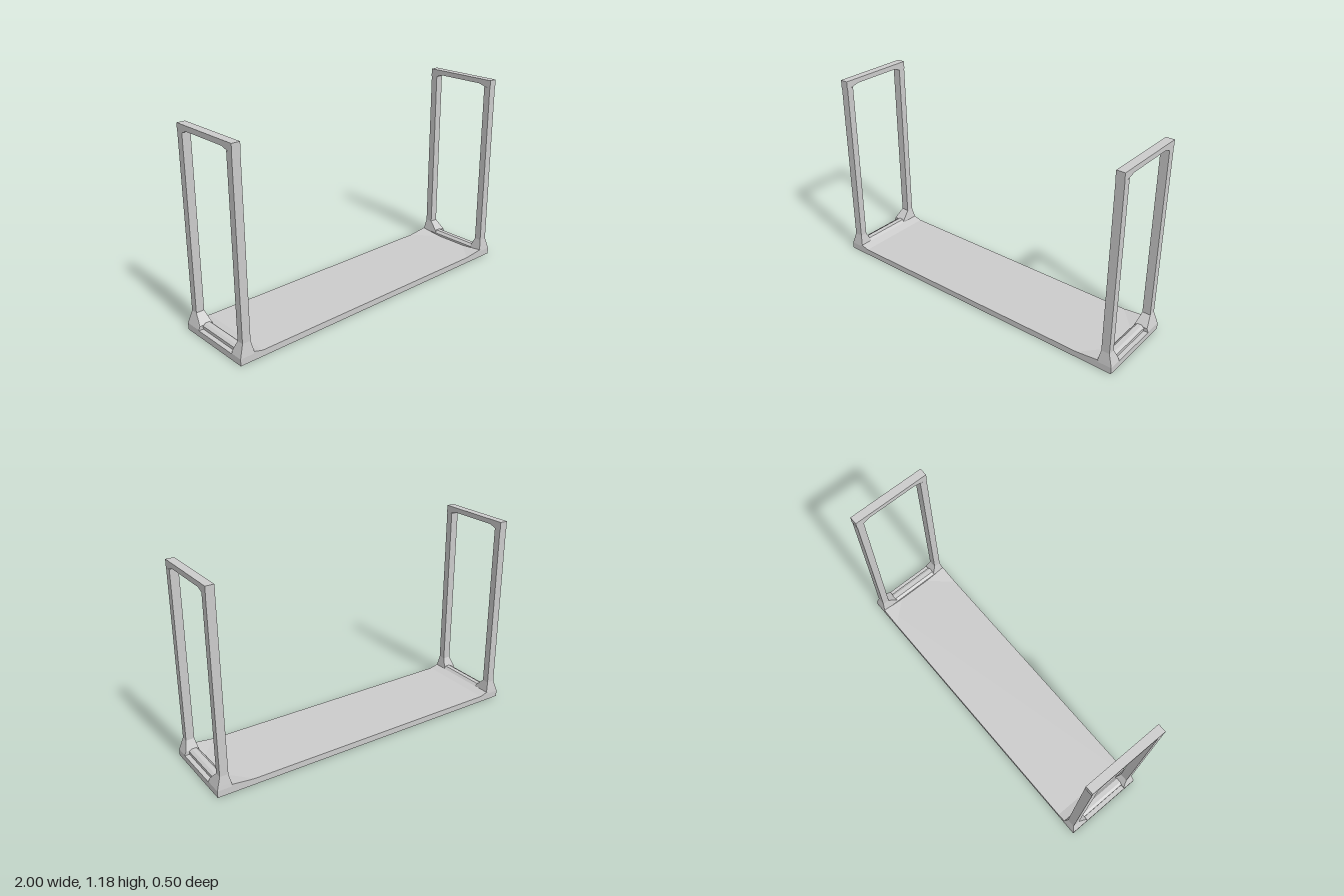
import * as THREE from 'three';
import { ConvexGeometry } from 'three/addons/geometries/ConvexGeometry.js';

const material = new THREE.MeshStandardMaterial({ color: 0xcccccc, flatShading: true });

export function createModel() {
  const group = new THREE.Group();
  const add = (name, geometry, parent = group) => {
    const mesh = new THREE.Mesh(geometry, material);
    mesh.name = name;
    parent.add(mesh);
    return mesh;
  };
  const box = (name, parent, x0, x1, y0, y1, z0, z1) =>
    add(name, new THREE.BoxGeometry(x1 - x0, y1 - y0, Math.abs(z1 - z0)), parent)
      .position.set((x0 + x1) / 2, (y0 + y1) / 2, (z0 + z1) / 2);
  // Solid spanned by a few corner points
  const hull = (name, parent, points) =>
    add(name, new ConvexGeometry(points.map((p) => new THREE.Vector3(...p))), parent);
  // Rectangle corners at height y
  const rect = (y, xa, xb, za, zb) => [[xa, y, za], [xb, y, za], [xb, y, zb], [xa, y, zb]];

  // Flat base plate
  box('basePlate', group, -1, 1, 0, 0.037, -0.25, 0.25);

  // One upright frame at each end
  for (const s of [-1, 1]) {
    const frame = new THREE.Group();
    frame.name = s > 0 ? 'leftFrame' : 'rightFrame';
    group.add(frame);
    const span = (a, b) => [Math.min(s * a, s * b), Math.max(s * a, s * b)];
    const [px0, px1] = span(0.925, 0.975);

    for (const f of [-1, 1]) {
      const side = f > 0 ? 'front' : 'back';
      const inner = f > 0 ? 0.17 : 0.14;
      box(side + 'Post', frame, px0, px1, 0.1, 1.135, f * 0.195, f * 0.238);
      // Flared foot, wider towards the plate
      hull(side + 'Foot', frame, [
        ...rect(0.03, s * 0.91, s, f * inner, f * 0.25),
        ...rect(0.04, s * 0.91, s, f * inner, f * 0.25),
        ...rect(0.06, s * 0.914, s * 0.992, f * inner, f * 0.247),
        ...rect(0.115, s * 0.925, s * 0.975, f * 0.195, f * 0.238),
      ]);
      // Shallow corner fillet on the plate
      if (s > 0) {
        hull(side + 'Fillet', frame, [
          [0.915, 0.052, f * 0.25], [0.78, 0.037, f * 0.25], [0.915, 0.037, f * 0.1],
          [0.915, 0.03, f * 0.25],
        ]);
      }
    }

    // Low sill between the feet
    const sill = [[0.91, 0.03], [0.91, 0.05], [0.927, 0.065], [0.955, 0.065], [0.972, 0.055], [0.972, 0.03]];
    hull('sill', frame, sill.flatMap(([x, y]) => [[s * x, y, -0.18], [s * x, y, 0.18]]));
    // Ramp leading up to the sill
    if (s < 0) {
      hull('sillRamp', frame, [
        [-0.86, 0.037, -0.25], [-0.86, 0.037, 0.25], [-0.915, 0.052, -0.25],
        [-0.915, 0.052, 0.25], [-0.915, 0.03, -0.25], [-0.915, 0.03, 0.25],
      ]);
    }

    // Top bar with braced ends
    const profile = new THREE.Shape([
      [-0.24, 1.132], [-0.195, 1.135], [-0.155, 1.15], [0.155, 1.15], [0.195, 1.138],
      [0.24, 1.132], [0.24, 1.18], [-0.24, 1.18],
    ].map(([z, y]) => new THREE.Vector2(z, y)));
    const bar = add('topBar', new THREE.ExtrudeGeometry(profile, { depth: 0.05, bevelEnabled: false }), frame);
    bar.rotation.y = -Math.PI / 2;
    bar.position.x = px1;
  }
  return group;
}
